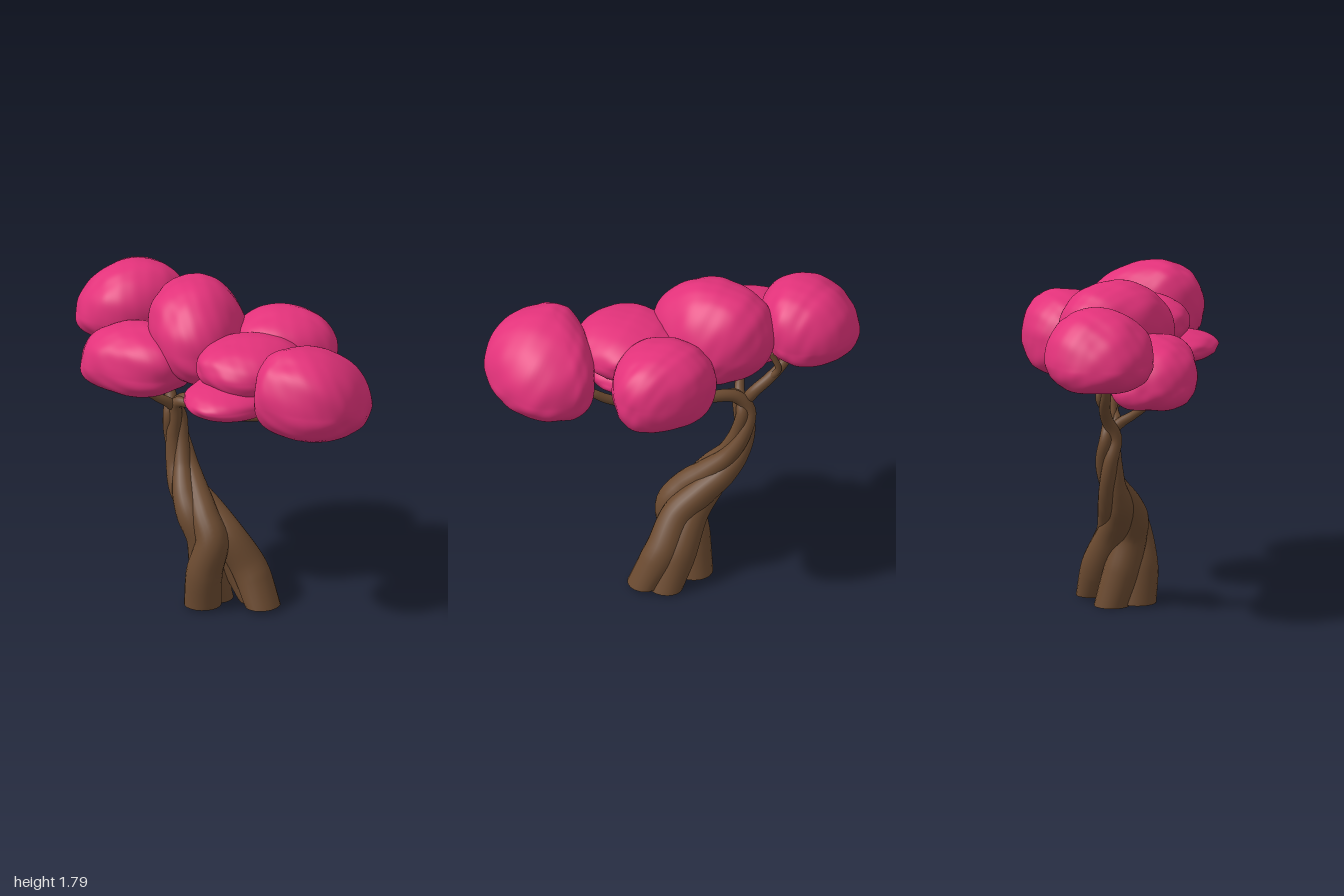
import * as THREE from 'three';
import { mergeVertices } from 'three/addons/utils/BufferGeometryUtils.js';

const pink = new THREE.MeshStandardMaterial({ color: 0xe2327a });
const brown = new THREE.MeshStandardMaterial({ color: 0x6b4a30, side: THREE.DoubleSide });

// Lumpy foliage cloud: a rounded ellipsoid, flatter below, with its own reach on each side of a core point.
// lean = [rise per x, forward shift per x, forward shift per y]
function cloud(name, core, min, max, power, seed, lean = [0, 0, 0]) {
  let geo = new THREE.IcosahedronGeometry(1, 20);
  geo.deleteAttribute('normal');
  geo.deleteAttribute('uv');
  geo = mergeVertices(geo, 1e-4);
  const pos = geo.attributes.position;
  const v = new THREE.Vector3();
  for (let i = 0; i < pos.count; i++) {
    v.fromBufferAttribute(pos, i).normalize();
    const { x, y, z } = v;
    const e = power * (1 - 0.2 * Math.min(0, y));
    const round = Math.pow(Math.abs(x) ** e + Math.abs(y) ** e + Math.abs(z) ** e, -1 / e);
    const lumps = 0.022 * Math.sin(4 * x + 3 * y + seed) * Math.cos(4 * z - 2 * x + seed * 2)
      + 0.01 * Math.sin(9 * y + 4 * z + seed * 3) * Math.sin(9 * x - 5 * z + seed)
      + 0.004 * Math.sin(17 * x + seed) * Math.sin(16 * z + 6 * y);
    v.multiplyScalar(round * (1 + lumps));
    const [dx, dy, dz] = v.toArray().map((c, k) =>
      c * (c > 0 ? max[k] - core[k] : core[k] - min[k]));
    pos.setXYZ(i, core[0] + dx, core[1] + dy + lean[0] * dx,
      core[2] + dz + lean[1] * dx + lean[2] * dy);
  }
  geo.computeVertexNormals();
  const mesh = new THREE.Mesh(geo, pink);
  mesh.name = name;
  return mesh;
}

// Tapering limb along points [x, y, z, radius], cut level and open at the start, rounded at the tip
function limb(name, points) {
  const curve = new THREE.CatmullRomCurve3(
    points.map(p => new THREE.Vector3(p[0], p[1], p[2])), false, 'centripetal');
  const rings = 90, sides = 20;
  const geo = new THREE.TubeGeometry(curve, rings, 1, sides);
  const pos = geo.attributes.position;
  const v = new THREE.Vector3();
  for (let i = 0; i <= rings; i++) {
    const u = i / rings;
    const t = curve.getUtoTmapping(u) * (points.length - 1);
    const k = Math.min(Math.floor(t), points.length - 2);
    const tip = Math.sqrt(Math.min(1, (1 - u) * 40));
    const r = THREE.MathUtils.lerp(points[k][3], points[k + 1][3], t - k) * tip;
    const c = curve.getPointAt(u);
    for (let j = 0; j <= sides; j++) {
      const n = i * (sides + 1) + j;
      v.fromBufferAttribute(pos, n).sub(c).multiplyScalar(r);
      v.y *= Math.min(1, i / 8);
      v.add(c);
      pos.setXYZ(n, v.x, v.y, v.z);
    }
  }
  geo.computeVertexNormals();
  // Share normals across the lengthwise seam
  const nor = geo.attributes.normal;
  for (let i = 0; i <= rings; i++) {
    const a = i * (sides + 1), b = a + sides;
    const n = new THREE.Vector3().fromBufferAttribute(nor, a)
      .add(v.fromBufferAttribute(nor, b)).normalize();
    nor.setXYZ(a, n.x, n.y, n.z);
    nor.setXYZ(b, n.x, n.y, n.z);
  }
  const mesh = new THREE.Mesh(geo, brown);
  mesh.name = name;
  return mesh;
}

// Trunk stations: centre x, y, z, strand spread, strand radius, twist in degrees
const stations = [
  [0.00, 0.00, 0.05, 0.150, 0.100, 0],
  [-0.01, 0.20, 0.01, 0.115, 0.098, 20],
  [-0.03, 0.38, -0.045, 0.070, 0.088, 55],
  [-0.035, 0.49, -0.135, 0.062, 0.078, 85],
  [-0.015, 0.59, -0.235, 0.052, 0.067, 118],
  [0.02, 0.71, -0.32, 0.038, 0.048, 152],
  [0.035, 0.85, -0.37, 0.033, 0.038, 200],
  [0.025, 0.98, -0.38, 0.030, 0.034, 250],
];

// Strands: angle and spread at the base, angle once evenly twisted, then the branch each one becomes
const strands = [
  { name: 'frontBranch', base: 222, angle: 240, y: 0.01, spread: 1.06, branch: [
    [0.03, 1.07, -0.33, 0.035], [0.03, 1.1, -0.18, 0.032], [0.01, 1.09, 0.0, 0.032],
    [0.01, 1.13, 0.2, 0.029], [0.01, 1.2, 0.38, 0.026], [0.0, 1.28, 0.5, 0.022]] },
  { name: 'backBranch', base: 25, angle: 0, y: 0.02, spread: 1.1, branch: [
    [0.04, 1.08, -0.42, 0.032], [0.05, 1.17, -0.52, 0.03],
    [0.04, 1.26, -0.61, 0.027], [0.05, 1.42, -0.66, 0.022]] },
  { name: 'leftBranch', base: 69, angle: 75, y: 0.01, spread: 0.92, branch: [
    [0.0, 1.06, -0.34, 0.032], [0.01, 1.08, -0.22, 0.024], [0.03, 1.115, -0.1, 0.022],
    [0.05, 1.09, 0.03, 0.02], [0.07, 1.12, 0.13, 0.018], [0.11, 1.27, 0.2, 0.015]] },
  { name: 'rightBranch', base: 169, angle: 160, y: 0, spread: 1, branch: [
    [-0.03, 1.06, -0.37, 0.028], [-0.1, 1.11, -0.4, 0.023],
    [-0.17, 1.18, -0.45, 0.02], [-0.2, 1.28, -0.48, 0.016]] },
];

export function createModel() {
  const model = new THREE.Group();

  // Twisted trunk strands flowing into branches
  const trunk = new THREE.Group();
  trunk.name = 'trunk';
  for (const s of strands) {
    const points = stations.map(([x, y, z, spread, r, twist], i) => {
      const a = THREE.MathUtils.degToRad((i < 2 ? s.base : s.angle) + twist);
      const d = spread * (i < 2 ? s.spread : 1);
      return [x + d * Math.sin(a), i ? y : s.y, z + d * Math.cos(a), r];
    });
    trunk.add(limb(s.name + 'Strand', [...points, ...s.branch]));
  }
  // Short twig forking off the back branch
  trunk.add(limb('twig', [[0.05, 1.16, -0.51, 0.02], [0.08, 1.23, -0.55, 0.018],
    [0.07, 1.34, -0.51, 0.015]]));
  model.add(trunk);

  // Foliage: core, lowest corner, highest corner, squareness, seed, lean
  const foliage = new THREE.Group();
  foliage.name = 'foliage';
  foliage.add(
    cloud('frontCloud', [-0.16, 1.4, 0.65], [-0.43, 1.21, 0.445], [0.24, 1.695, 1.0], 2.15, 1, [-0.12, 0, -0.06]),
    cloud('leftCloud', [0.3, 1.42, 0.18], [0.0, 1.2, -0.12], [0.52, 1.65, 0.45], 2.15, 2.2, [0, 0.12, 0]),
    cloud('middleCloud', [-0.1, 1.47, 0.24], [-0.37, 1.34, -0.02], [0.2, 1.61, 0.5], 2.2, 3.1),
    cloud('lowerMiddleCloud', [-0.18, 1.34, 0.26], [-0.52, 1.25, 0.0], [0.18, 1.43, 0.48], 2.1, 4.5),
    cloud('topCloud', [0.02, 1.49, -0.19], [-0.3, 1.27, -0.49], [0.31, 1.79, 0.07], 2.15, 5.3, [0, -0.25, -0.13]),
    cloud('backCloud', [0.1, 1.48, -0.71], [-0.22, 1.32, -0.99], [0.36, 1.75, -0.46], 2.1, 6.4, [0, 0.08, 0.15]),
    cloud('rightCloud', [-0.2, 1.33, -0.47], [-0.44, 1.18, -0.75], [0.03, 1.54, -0.13], 2.4, 7.7, [0, 0, 0.2]),
  );
  model.add(foliage);
  return model;
}
